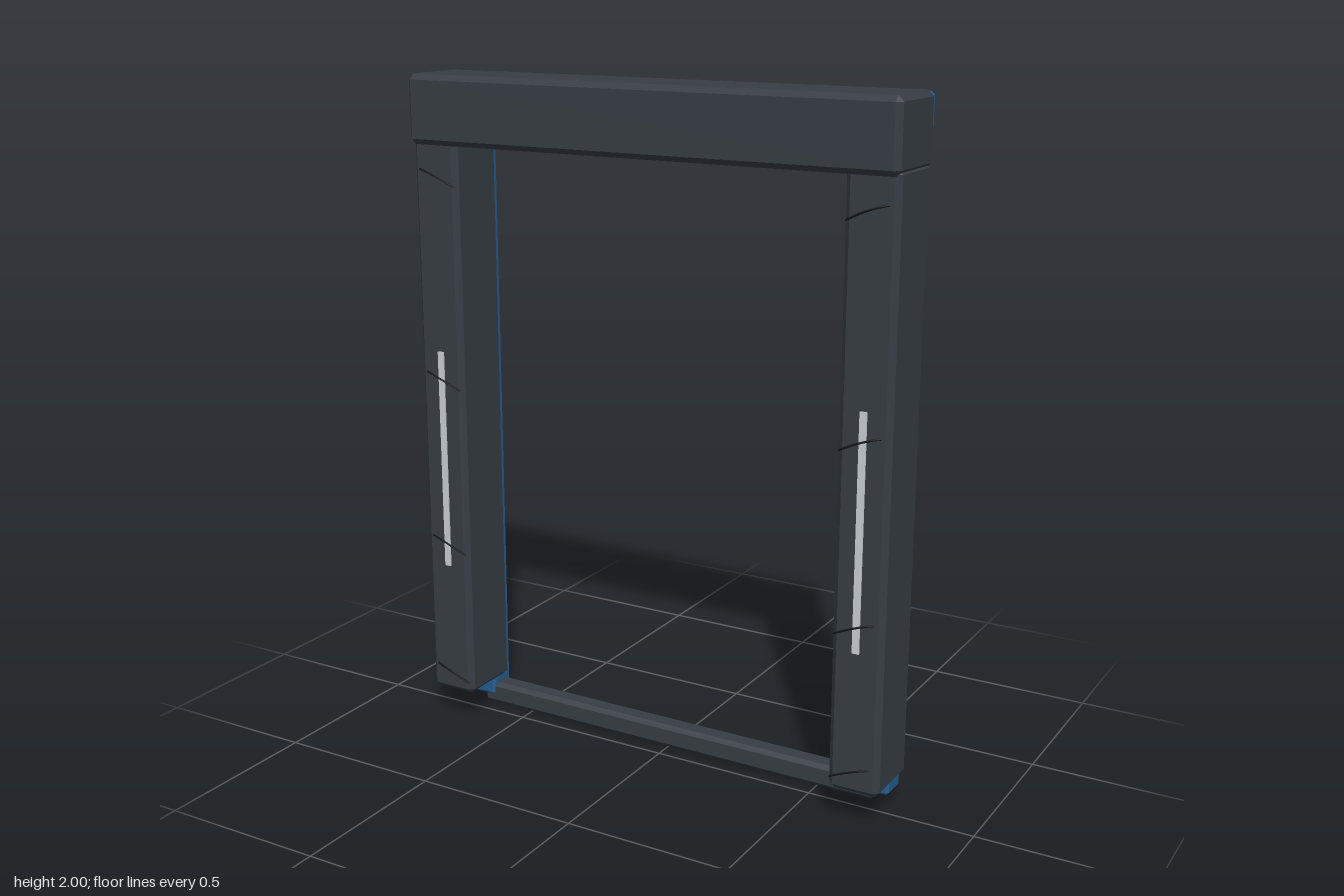
import * as THREE from 'three';
import { ConvexGeometry } from 'three/addons/geometries/ConvexGeometry.js';

const material = (name, color) => {
  const m = new THREE.MeshStandardMaterial({ color });
  m.name = name;
  return m;
};

// Box between two corners with every edge cut by a flat chamfer c
function chamferBox(min, max, c) {
  const mid = min.map((v, i) => (v + max[i]) / 2);
  const half = min.map((v, i) => (max[i] - v) / 2);
  const points = [];
  for (const sx of [-1, 1]) for (const sy of [-1, 1]) for (const sz of [-1, 1]) {
    const s = [sx, sy, sz];
    for (let full = 0; full < 3; full++) {
      points.push(new THREE.Vector3(
        ...s.map((v, i) => mid[i] + v * (half[i] - (i === full ? 0 : c)))));
    }
  }
  return new ConvexGeometry(points);
}

export function createModel() {
  const charcoal = material('charcoal', 0x373d44);
  const blue = material('blue', 0x225e92);
  const silver = material('silver', 0xcccfd2);
  const black = material('black', 0x14171a);

  const model = new THREE.Group();
  model.name = 'doorFrame';
  const add = (name, geometry, mat, parent = model) => {
    const mesh = new THREE.Mesh(geometry, mat);
    mesh.name = name;
    parent.add(mesh);
    return mesh;
  };

  // Beams across the top and the sill at the floor
  add('header', chamferBox([-0.762, 1.8, -0.092], [0.762, 2, 0.135], 0.016), charcoal);
  add('rearHeader', chamferBox([-0.745, 1.892, -0.135], [0.745, 1.993, -0.06], 0.009), blue);
  add('sill', chamferBox([-0.68, 0, -0.114], [0.68, 0.07, -0.046], 0.012), charcoal);

  // Side posts
  for (const side of [1, -1]) {
    const post = new THREE.Group();
    post.name = side > 0 ? 'leftPost' : 'rightPost';
    model.add(post);
    const span = (a, b) => (side > 0 ? [a, b] : [-b, -a]);
    const block = (name, [x0, x1], y, z, c, mat) =>
      add(name, chamferBox([x0, y[0], z[0]], [x1, y[1], z[1]], c), mat, post);

    block('frontPost', span(0.608, 0.76), [0.097, 1.82], [-0.087, 0.117], 0.016, charcoal);
    block('rearPost', span(0.635, 0.727), [0.028, 1.93], [-0.128, -0.04], 0.009, blue);

    // Light strip on the front face
    const strip = add('lightStrip', new THREE.BoxGeometry(0.021, 0.675, 0.008), silver, post);
    strip.position.set(side * 0.682, 0.853, 0.117);

    // Thin curved wires over the front face
    for (const y of [1.705, 1.1, 0.583, 0.158]) {
      const curve = new THREE.QuadraticBezierCurve3(
        new THREE.Vector3(side * 0.735, y + 0.024, 0.119),
        new THREE.Vector3(side * 0.68, y + 0.014, 0.135),
        new THREE.Vector3(side * 0.615, y - 0.022, 0.119));
      add('wire', new THREE.TubeGeometry(curve, 12, 0.003, 6), black, post);
    }
  }
  return model;
}
